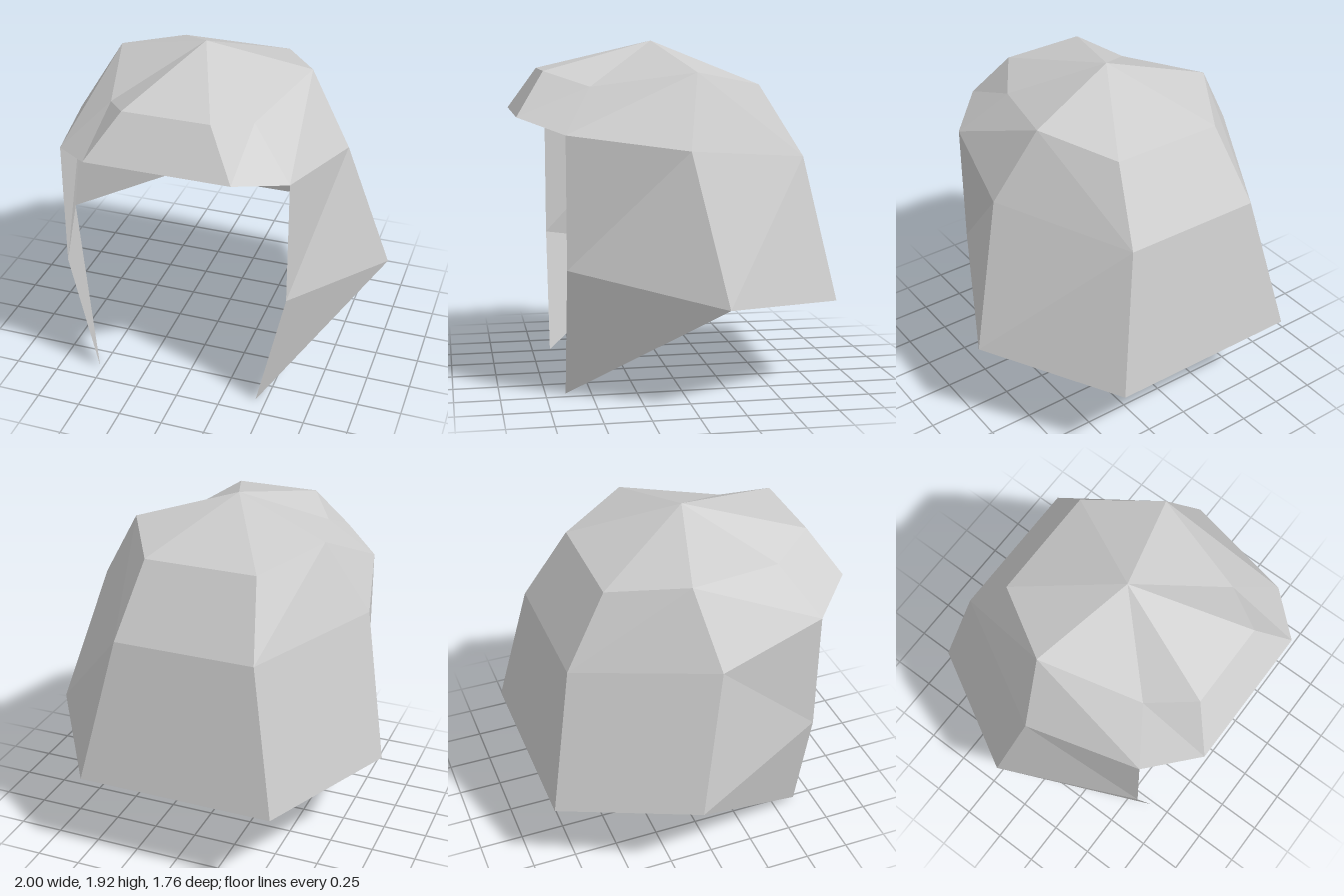
import * as THREE from 'three';

// Low-poly open shell of hair: corner points of the -x half
const MID = -0.04;
const P = {
  apex: [MID, 1.92, 0.08],
  crown: [-0.6, 1.76, -0.08],
  temple: [-0.84, 1.36, 0],
  flare: [-1, 0.56, -0.16],
  brim: [-0.44, 1.52, 0.88],
  quiff: [-0.28, 1.76, 0.72],
  dip: [-0.44, 1.68, 0.48],
  brow: [-0.68, 1.44, 0.64],
  cheek: [-0.68, 0.72, 0.64],
  tip: [-0.52, 0, 0.64],
  backTop: [-0.36, 1.68, -0.48],
  backMid: [-0.44, 1.28, -0.72],
  nape: [-0.6, 0.48, -0.88],
};

// A trailing * takes the mirrored point; the flare mirrors about x = 0
function point(key, mirrored) {
  const star = key.endsWith('*');
  const name = star ? key.slice(0, -1) : key;
  const v = new THREE.Vector3(...P[name]);
  if (star !== mirrored) v.x = name === 'flare' ? -v.x : 2 * MID - v.x;
  return v;
}

// Fan each facet into triangles that face away from the middle of the head
function panel(name, facets, mirrored, material) {
  const centre = new THREE.Vector3(MID, 1, 0);
  const out = [];
  for (const facet of facets) {
    const pts = facet.split(' ').map((k) => point(k, mirrored));
    for (let i = 1; i < pts.length - 1; i++) {
      const tri = new THREE.Triangle(pts[0], pts[i], pts[i + 1]);
      const normal = tri.getNormal(new THREE.Vector3());
      const outward = normal.dot(tri.getMidpoint(new THREE.Vector3()).sub(centre)) > 0;
      out.push(...(outward ? [tri.a, tri.b, tri.c] : [tri.a, tri.c, tri.b]));
    }
  }
  const geometry = new THREE.BufferGeometry().setFromPoints(out);
  geometry.computeVertexNormals();
  const mesh = new THREE.Mesh(geometry, material);
  mesh.name = name;
  return mesh;
}

export function createModel() {
  const hair = new THREE.MeshStandardMaterial({
    name: 'light grey', color: 0xcccccc, flatShading: true, side: THREE.DoubleSide,
  });
  const group = new THREE.Group();
  group.name = 'hair';

  // Panels crossing the middle
  group.add(
    panel('fringe', ['apex quiff quiff*', 'quiff brim brim* quiff*'], false, hair),
    panel('crownBack', ['apex backTop backTop*'], false, hair),
    panel('back', ['backTop backMid backMid* backTop*', 'backMid nape nape* backMid*'], false, hair),
  );

  // Paired panels
  for (const mirrored of [false, true]) {
    const side = mirrored ? 'left' : 'right';
    group.add(
      panel(side + 'Crown', ['apex crown backTop', 'apex dip crown', 'crown dip brow', 'crown brow temple'], mirrored, hair),
      panel(side + 'Fringe', ['apex quiff dip', 'dip quiff brim', 'dip brim brow'], mirrored, hair),
      panel(side + 'Lock', ['temple brow cheek', 'temple cheek flare', 'cheek tip flare'], mirrored, hair),
      panel(side + 'Back', ['crown backMid backTop', 'crown temple backMid', 'temple flare backMid', 'flare nape backMid'], mirrored, hair),
    );
  }
  return group;
}
